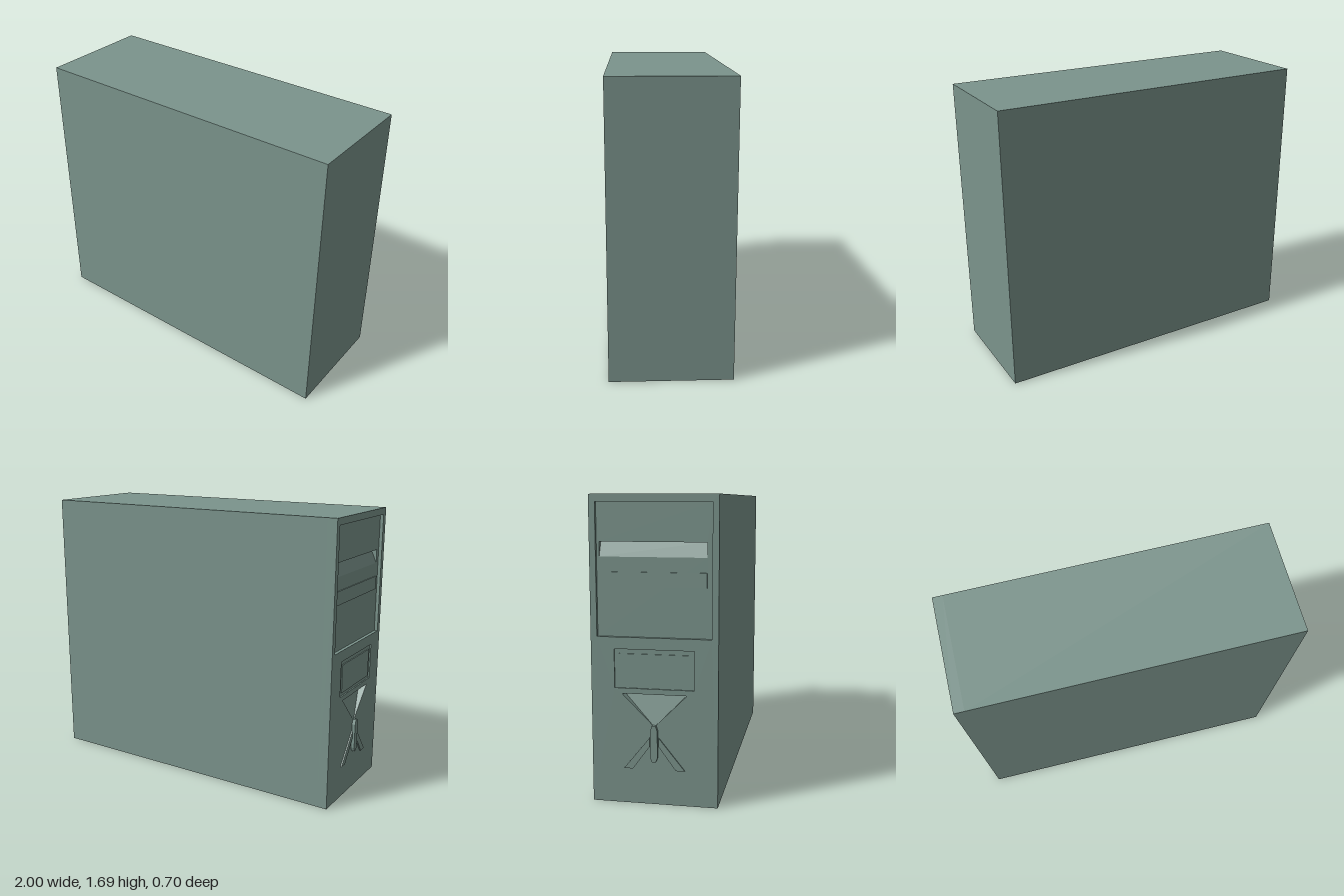
import * as THREE from 'three';

// Outline points are [z, y] pairs on the x = -0.98 fascia.
const rect = (z0, y0, z1, y1) => [[z0, y0], [z1, y0], [z1, y1], [z0, y1]];
const toPoints = (list) => list.map(([z, y]) => new THREE.Vector2(z, y));

export function createModel() {
  const group = new THREE.Group();
  const caseGreen = new THREE.MeshStandardMaterial({ color: 0x7b948c });
  caseGreen.side = THREE.DoubleSide;

  const add = (name, geometry) => {
    const mesh = new THREE.Mesh(geometry, caseGreen);
    mesh.name = name;
    group.add(mesh);
    return mesh;
  };

  // Extrudes a [z, y] outline towards -x, from xBack to xFront.
  const plate = (name, outline, xBack, xFront, holes = []) => {
    const shape = new THREE.Shape(toPoints(outline));
    holes.forEach((h) => shape.holes.push(new THREE.Path(toPoints(h))));
    const geometry = new THREE.ExtrudeGeometry(shape, { depth: xBack - xFront, bevelEnabled: false });
    geometry.rotateY(-Math.PI / 2).translate(xBack, 0, 0);
    return add(name, geometry);
  };

  // Flat sloping face through three or four [x, y, z] corners.
  const ramp = (name, corners) => {
    const geometry = new THREE.BufferGeometry();
    geometry.setAttribute('position', new THREE.Float32BufferAttribute(corners.flat(), 3));
    geometry.setIndex(corners.length === 4 ? [0, 1, 2, 0, 2, 3] : [0, 1, 2]);
    geometry.computeVertexNormals();
    return add(name, geometry);
  };

  // Main case
  const body = add('caseBody', new THREE.BoxGeometry(1.92, 1.69, 0.7));
  body.position.set(0.04, 0.845, 0);

  // Fascia with openings for the drive bay, small drive and power scoop
  const bay = rect(-0.315, 0.93, 0.315, 1.65);
  const smallDrive = rect(-0.22, 0.65, 0.22, 0.865);
  const scoop = [[-0.18, 0.62], [0, 0.44], [0.18, 0.62]];
  plate('fascia', rect(-0.35, 0, 0.35, 1.69), -0.92, -0.98, [bay, smallDrive, scoop]);

  // Recessed drive bay with a sloping finger slot
  const slot = rect(-0.3, 1.36, 0.285, 1.44);
  plate('driveBay', bay, -0.92, -0.96, [slot]);
  ramp('slotSlope', [[-0.96, 1.36, -0.3], [-0.96, 1.36, 0.285], [-0.925, 1.44, 0.285], [-0.925, 1.44, -0.3]]);
  plate('lowerDriveBezel', rect(-0.3, 1.2, 0.285, 1.28), -0.96, -0.966);

  // Small drive cover, set in a shallow surround
  plate('smallDriveSurround', smallDrive, -0.92, -0.972);
  plate('smallDriveCover', rect(-0.195, 0.67, 0.195, 0.84), -0.972, -0.978);

  // Scoop above the power button
  ramp('scoopSlope', [[-0.98, 0.44, 0], [-0.93, 0.62, 0.18], [-0.93, 0.62, -0.18]]);

  // Upright power button with tapered ends
  plate('powerButton', [[-0.01, 0.245], [0.01, 0.245], [0.02, 0.27], [0.02, 0.42], [0.01, 0.45], [-0.01, 0.45], [-0.02, 0.42], [-0.02, 0.27]], -0.98, -1);

  // Splayed ribs on each side of the button
  for (const side of [-1, 1]) {
    const outline = [[0.025, 0.38], [0.17, 0.2], [0.12, 0.2], [0.025, 0.33]].map(([z, y]) => [z * side, y]);
    plate(side < 0 ? 'rearRib' : 'frontRib', outline, -0.98, -0.988);
  }

  return group;
}
